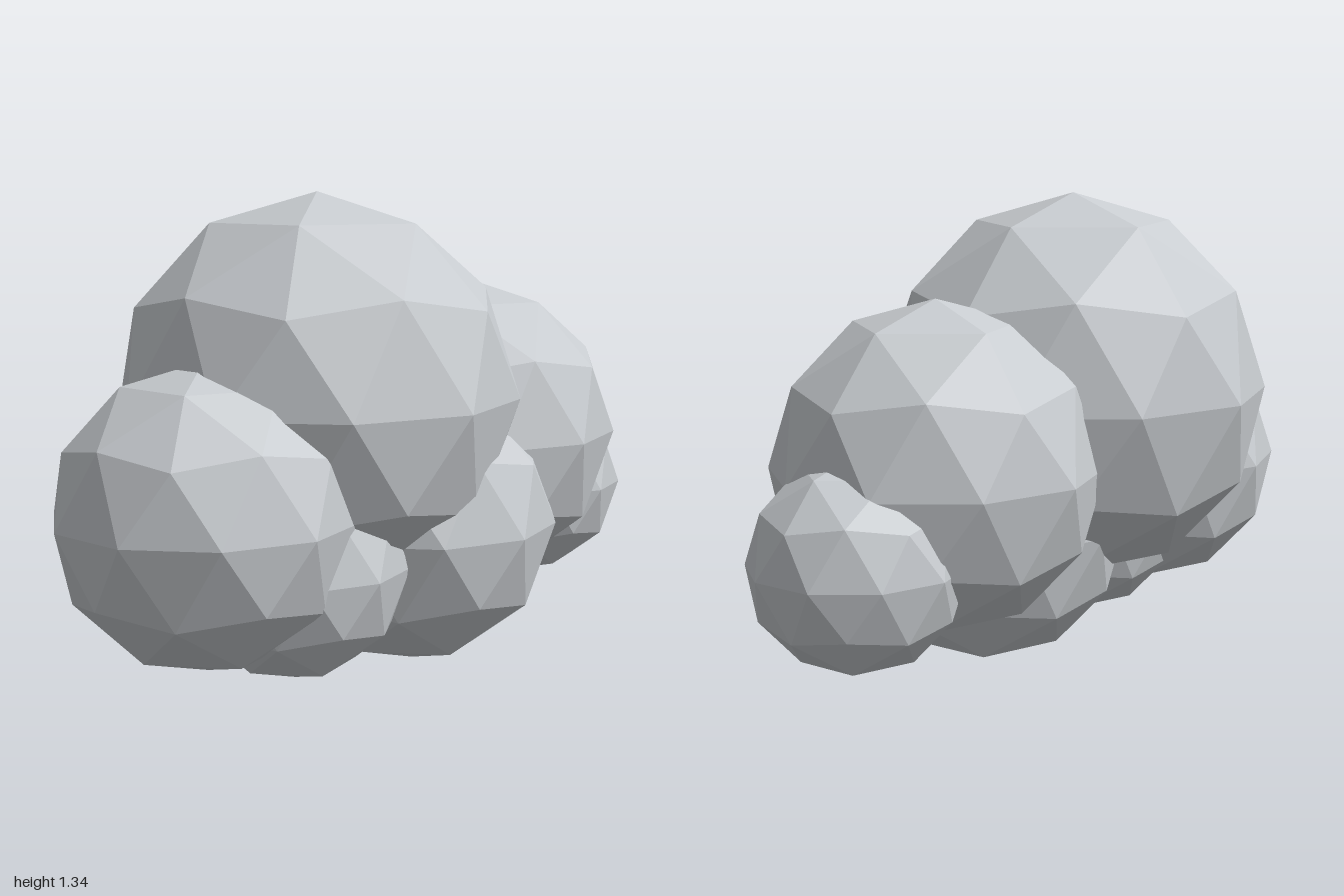
import * as THREE from 'three';

export function createModel() {
  const cloud = new THREE.Group();
  cloud.name = 'cloud';

  const cloudGrey = new THREE.MeshStandardMaterial({ color: 0xc8ccd0 });
  cloudGrey.name = 'cloudGrey';

  // Faceted ball, tilted so that one corner points straight up
  const tilt = -Math.atan(2 / (1 + Math.sqrt(5)));
  const ball = new THREE.IcosahedronGeometry(1, 1).rotateZ(tilt);
  ball.computeVertexNormals(); // unshared corners, so this gives flat facets

  // name, radius, centre x, y, z
  const puffs = [
    ['mainPuff', 0.56, -0.16, 0.777, 0],
    ['leftPuff', 0.453, 0.405, 0.628, 0.045],
    ['leftEndPuff', 0.288, 0.724, 0.43, 0.047],
    ['rightPuff', 0.407, -0.613, 0.505, 0.043],
    ['lowerFrontPuff', 0.408, 0.085, 0.41, 0.133],
    ['lowerRightPuff', 0.312, -0.37, 0.353, 0.12],
  ];

  for (const [name, radius, x, y, z] of puffs) {
    const puff = new THREE.Mesh(ball, cloudGrey);
    puff.name = name;
    puff.scale.setScalar(radius);
    puff.position.set(x, y, z);
    cloud.add(puff);
  }
  return cloud;
}
